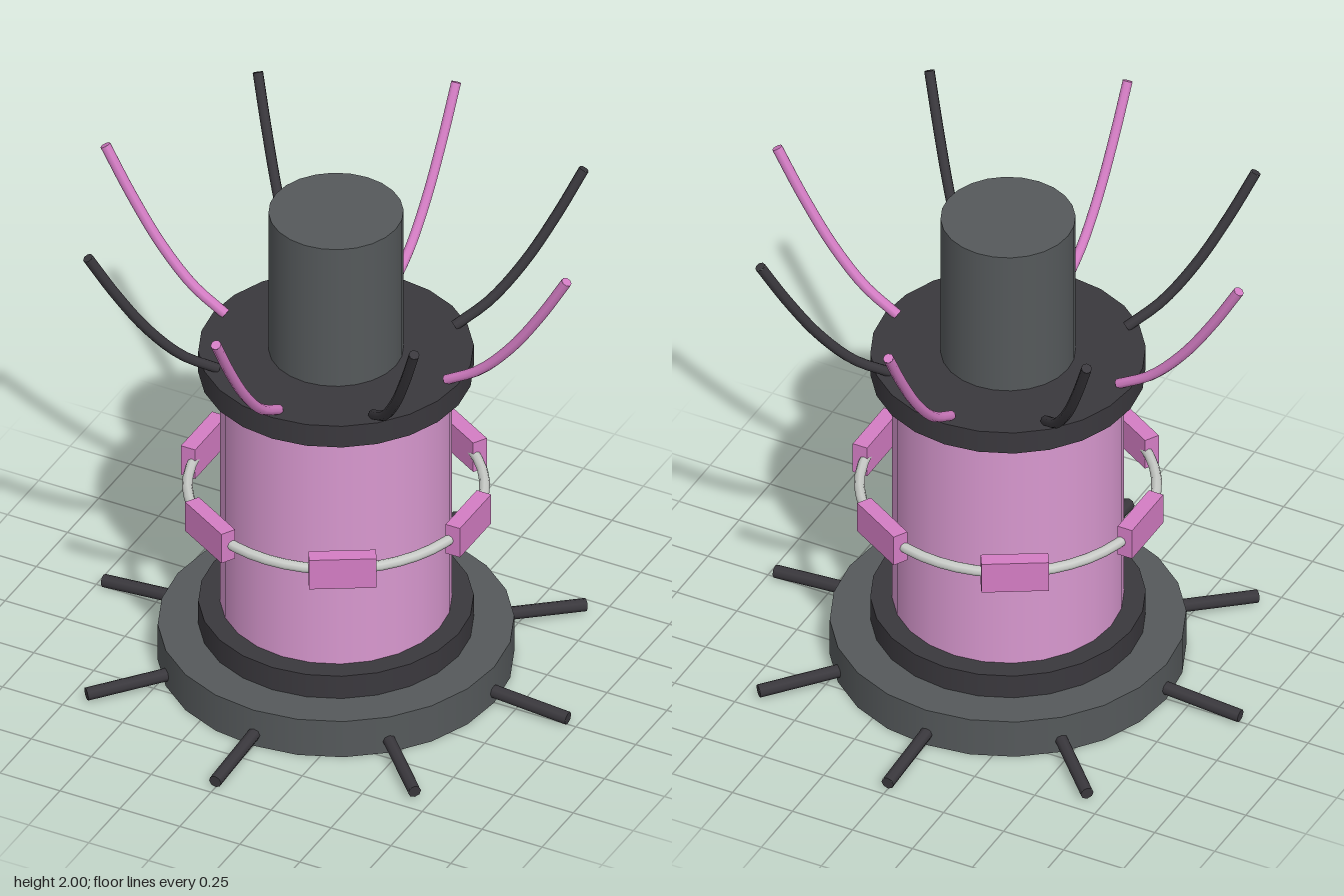
import * as THREE from 'three';

const mat = (name, color) => {
  const m = new THREE.MeshStandardMaterial({ color });
  m.name = name;
  return m;
};

export function createModel() {
  const model = new THREE.Group();
  model.name = 'reactor';

  const gray = mat('slate gray', 0x55595b);
  const dark = mat('charcoal', 0x3a383d);
  const bodyPink = mat('light orchid', 0xd898cf);
  const pink = mat('orchid', 0xd47dc4);
  const silver = mat('silver', 0xc9ccc8);

  const add = (name, geometry, material, parent = model) => {
    const mesh = new THREE.Mesh(geometry, material);
    mesh.name = name;
    parent.add(mesh);
    return mesh;
  };

  // Stacked drums: name, radius, bottom, top, material
  const drums = [
    ['basePlate', 0.66, 0, 0.16, gray],
    ['lowerCollar', 0.51, 0.16, 0.26, dark],
    ['core', 0.43, 0.26, 1.29, bodyPink],
    ['upperCollar', 0.51, 1.29, 1.385, dark],
    ['chimney', 0.25, 1.385, 2, gray],
  ];
  for (const [name, r, y0, y1, material] of drums) {
    add(name, new THREE.CylinderGeometry(r, r, y1 - y0, 24), material).position.y = (y0 + y1) / 2;
  }

  // Floating ring that carries six blocks
  const belt = new THREE.Group();
  belt.name = 'belt';
  belt.position.y = 0.77;
  model.add(belt);
  add('beltRing', new THREE.TorusGeometry(0.55, 0.02, 8, 48), silver, belt).rotation.x = Math.PI / 2;
  const block = new THREE.BoxGeometry(0.06, 0.13, 0.25);
  for (let i = 0; i < 6; i++) {
    const a = (i * Math.PI) / 3;
    const mesh = add('beltBlock', block, pink, belt);
    mesh.position.set(0.552 * Math.cos(a), 0, 0.552 * Math.sin(a));
    mesh.rotation.y = -a;
  }

  // Tube with flat end caps, following a curve in the xy plane
  const cappedTube = (name, curve, segments, r, material, parent) => {
    add(name, new THREE.TubeGeometry(curve, segments, r, 8), material, parent);
    for (const [t, sign] of [[0, -1], [1, 1]]) {
      const cap = add(name + 'Cap', new THREE.CircleGeometry(r, 8), material, parent);
      cap.position.copy(curve.getPointAt(t));
      cap.quaternion.setFromUnitVectors(
        new THREE.Vector3(0, 0, 1), curve.getTangentAt(t).multiplyScalar(sign));
    }
  };

  const v = (x, y) => new THREE.Vector3(x, y, 0);
  const armCurve = new THREE.CatmullRomCurve3(
    [v(0.46, 1.39), v(0.595, 1.475), v(0.73, 1.62), v(0.855, 1.805), v(0.962, 1.99)]);
  const legCurve = new THREE.LineCurve3(v(0.45, 0.067), v(0.968, 0.028));

  // Eight curved arms on top, alternating in colour, and eight feet below
  for (let i = 0; i < 8; i++) {
    const spoke = new THREE.Group();
    spoke.name = 'spoke';
    spoke.rotation.y = (i * Math.PI) / 4;
    model.add(spoke);
    cappedTube('arm', armCurve, 16, 0.02, i % 2 ? dark : pink, spoke);
    cappedTube('foot', legCurve, 1, 0.025, dark, spoke);
  }

  return model;
}
